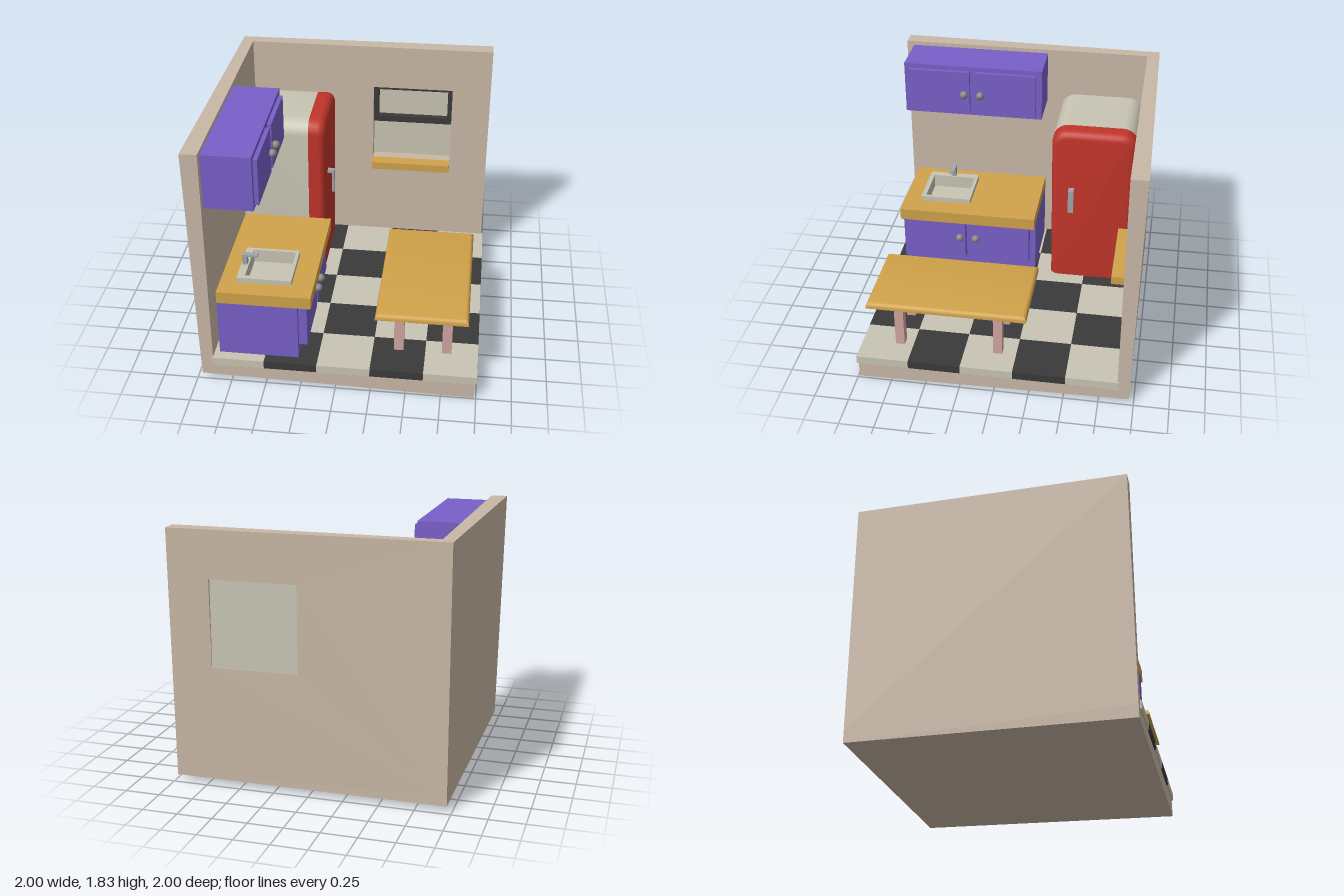
import * as THREE from 'three';
import { toCreasedNormals } from 'three/addons/utils/BufferGeometryUtils.js';

const mat = (color) => new THREE.MeshStandardMaterial({ color });
const WALL = mat(0xc9b8a6), CREAM = mat(0xc8c5b4), DARK = mat(0x3a3a3a), PURPLE = mat(0x7860c8),
  WOOD = mat(0xd0a24a), RED = mat(0xc0342a), METAL = mat(0xa0a5ae), KNOB = mat(0x8c8880), PINK = mat(0xd0a5a0);

function add(parent, name, geometry, material) {
  const mesh = new THREE.Mesh(geometry, material);
  mesh.name = name;
  parent.add(mesh);
  return mesh;
}

function group(parent, name) {
  const g = new THREE.Group();
  g.name = name;
  parent.add(g);
  return g;
}

// Box given by its extents
function boxGeo(x0, x1, y0, y1, z0, z1) {
  return new THREE.BoxGeometry(x1 - x0, y1 - y0, z1 - z0)
    .translate((x0 + x1) / 2, (y0 + y1) / 2, (z0 + z1) / 2);
}
const box = (parent, name, material, ...e) => add(parent, name, boxGeo(...e), material);

const rect = (a0, a1, b0, b1) =>
  [[a0, b0], [a1, b0], [a1, b1], [a0, b1]].map(([a, b]) => new THREE.Vector2(a, b));

// Rectangular plate with a rectangular hole, extruded along z
function plate(outer, hole, depth) {
  const shape = new THREE.Shape(rect(...outer));
  shape.holes.push(new THREE.Path(rect(...hole)));
  return new THREE.ExtrudeGeometry(shape, { depth, bevelEnabled: false });
}

// The same plate lying flat: extents are x0, x1, z0, z1
function flatPlate([x0, x1, z0, z1], [u0, u1, w0, w1], y0, y1) {
  return plate([x0, x1, -z1, -z0], [u0, u1, -w1, -w0], y1 - y0).rotateX(-Math.PI / 2).translate(0, y0, 0);
}

// Closed solid through rings of equal point count, counter-clockwise around the path
function loft(rings, crease = 0.6) {
  const n = rings[0].length, index = [], last = (rings.length - 1) * n;
  for (let i = 0; i < rings.length - 1; i++) {
    for (let j = 0; j < n; j++) {
      const a = i * n + j, b = i * n + (j + 1) % n;
      index.push(a, b, b + n, a, b + n, a + n);
    }
  }
  for (let j = 1; j < n - 1; j++) index.push(0, j + 1, j, last, last + j, last + j + 1);
  const geo = new THREE.BufferGeometry();
  geo.setAttribute('position', new THREE.Float32BufferAttribute(rings.flat(2), 3));
  geo.setIndex(index);
  return toCreasedNormals(geo, crease);
}

// Outer faces of the room (nominally x = -1, z = -1, y = 0) lean slightly
function lean(geometry) {
  const geo = geometry.index ? geometry.toNonIndexed() : geometry;
  const p = geo.attributes.position;
  for (let i = 0; i < p.count; i++) {
    const x = p.getX(i), y = p.getY(i), z = p.getZ(i);
    const t = y / 1.83, u = (x + 1) / 2, w = (z + 1) / 2;
    if (x < -0.999) p.setX(i, -0.965 - 0.035 * t * w);
    if (z < -0.999) p.setZ(i, -0.965 - 0.005 * t - 0.03 * t * u);
    if (y < 0.001) p.setY(i, 0.04 * (1 - u * w));
  }
  geo.computeVertexNormals();
  return geo;
}

// Pair of doors with knobs on a cabinet face
function doors(parent, x0, x1, y0, y1, knobY) {
  for (const [z0, z1, knobZ] of [[-0.075, 0.385, 0.345], [0.43, 0.895, 0.47]]) {
    box(parent, 'cabinetDoor', PURPLE, x0, x1, y0, y1, z0, z1);
    add(parent, 'doorKnob', new THREE.SphereGeometry(0.03, 20, 14).translate(x1 + 0.02, knobY, knobZ), KNOB);
  }
}

// Arched fridge cross-section at x, shrunk by inset, slightly narrower at the foot
function fridgeRing(x, inset) {
  const w = 0.3175 - inset, top = 1.47 - inset, r = 0.115 - inset, zc = -0.5545, y0 = 0.195;
  const pts = [[w, y0], [-w, y0]];
  for (const side of [-1, 1]) {
    for (let k = 0; k <= 7; k++) {
      const a = (side < 0 ? k : 7 - k) / 7 * Math.PI / 2;
      pts.push([side * (w - r + r * Math.cos(a)), top - r + r * Math.sin(a)]);
    }
  }
  return pts.map(([z, y]) => {
    const s = 0.97 + 0.03 * Math.min(1, (y - y0) / 1.1);
    return [-0.55 + (x + 0.55) * s, y, zc + z * s];
  });
}

export function createModel() {
  const model = new THREE.Group();
  model.name = 'kitchenRoom';

  // Room shell
  const room = group(model, 'room');
  add(room, 'floorSlab', lean(boxGeo(-1, 0.985, 0, 0.13, -1, 0.99)), WALL);
  add(room, 'leftWall', lean(boxGeo(-1, -0.88, 0.13, 1.83, -1, 0.99)), WALL);
  add(room, 'backWall', lean(plate([-0.88, 0.985, 0.13, 1.83], [0.07, 0.69, 0.87, 1.49], 0.12).translate(0, 0, -1)), WALL);

  // Checkered floor
  const floor = group(model, 'floorTiles'), step = 0.378;
  for (let i = 0; i < 5; i++) {
    for (let j = 0; j < 5; j++) {
      const x = -0.89 + i * step, z = -0.89 + j * step;
      box(floor, 'floorTile', (i + j) % 2 ? DARK : CREAM, x, x + step, 0.13, 0.19, z, z + step);
    }
  }

  // Window with raised sash and sill
  const win = group(model, 'window');
  box(win, 'windowPane', CREAM, 0.07, 0.69, 0.87, 1.49, -0.972, -0.96);
  add(win, 'windowSash', plate([0.07, 0.69, 1.18, 1.49], [0.11, 0.655, 1.23, 1.46], 0.05).translate(0, 0, -0.96), DARK);
  box(win, 'windowSill', WOOD, 0.07, 0.69, 0.81, 0.87, -0.88, -0.78);

  // Wall cabinet
  const upper = group(model, 'wallCabinet');
  box(upper, 'cabinetBody', PURPLE, -0.88, -0.54, 1.4, 1.8, -0.12, 0.935);
  doors(upper, -0.54, -0.51, 1.425, 1.765, 1.59);

  // Base cabinet and counter
  const lower = group(model, 'baseCabinet');
  box(lower, 'cabinetBody', PURPLE, -0.84, -0.27, 0.2, 0.63, -0.12, 0.935);
  doors(lower, -0.27, -0.21, 0.29, 0.63, 0.49);
  const tub = [-0.7, -0.345, 0.42, 0.785], basin = [-0.665, -0.355, 0.435, 0.765];
  add(lower, 'counterTop', flatPlate([-0.84, -0.175, -0.12, 0.935], tub, 0.63, 0.72), WOOD);

  // Sink and tap
  const sink = group(model, 'sink');
  add(sink, 'sinkRim', flatPlate([-0.72, -0.33, 0.41, 0.8], basin, 0.72, 0.76), CREAM);
  add(sink, 'sinkSides', flatPlate(tub, basin, 0.635, 0.72), CREAM);
  box(sink, 'sinkBottom', CREAM, -0.69, -0.35, 0.635, 0.66, 0.425, 0.78);
  box(sink, 'tapPost', METAL, -0.71, -0.675, 0.76, 0.84, 0.59, 0.63);
  box(sink, 'tapSpout', METAL, -0.675, -0.6, 0.825, 0.84, 0.59, 0.63);

  // Fridge: cream body, red door with rounded front edge, bracket handle
  const fridge = group(model, 'fridge');
  add(fridge, 'fridgeBody', loft([fridgeRing(-0.875, 0), fridgeRing(-0.36, 0)]), CREAM);
  const doorRings = [fridgeRing(-0.36, 0)];
  for (let k = 0; k <= 6; k++) {
    const a = k / 6 * Math.PI / 2;
    doorRings.push(fridgeRing(-0.29 + 0.06 * Math.sin(a), 0.06 * (1 - Math.cos(a))));
  }
  add(fridge, 'fridgeDoor', loft(doorRings), RED);
  box(fridge, 'handleGrip', METAL, -0.2, -0.182, 0.81, 1, -0.417, -0.375);
  box(fridge, 'handleMount', METAL, -0.245, -0.2, 0.975, 1, -0.417, -0.375);

  // Table
  const table = group(model, 'table');
  const topRing = (y, i) => [[0.27 + i, y, 0.925 - i], [0.92 - i, y, 0.925 - i], [0.92 - i, y, -0.22 + i], [0.27 + i, y, -0.22 + i]];
  const topRings = [topRing(0.57, 0)];
  for (let k = 0; k <= 4; k++) {
    const a = k / 4 * Math.PI / 2;
    topRings.push(topRing(0.582 + 0.033 * Math.sin(a), 0.03 * (1 - Math.cos(a))));
  }
  add(table, 'tableTop', loft(topRings), WOOD);
  for (const x of [0.43, 0.775]) {
    for (const z of [0, 0.72]) {
      box(table, 'tableLeg', PINK, x - 0.035, x + 0.035, 0.19, 0.57, z - 0.033, z + 0.033);
    }
  }
  return model;
}
